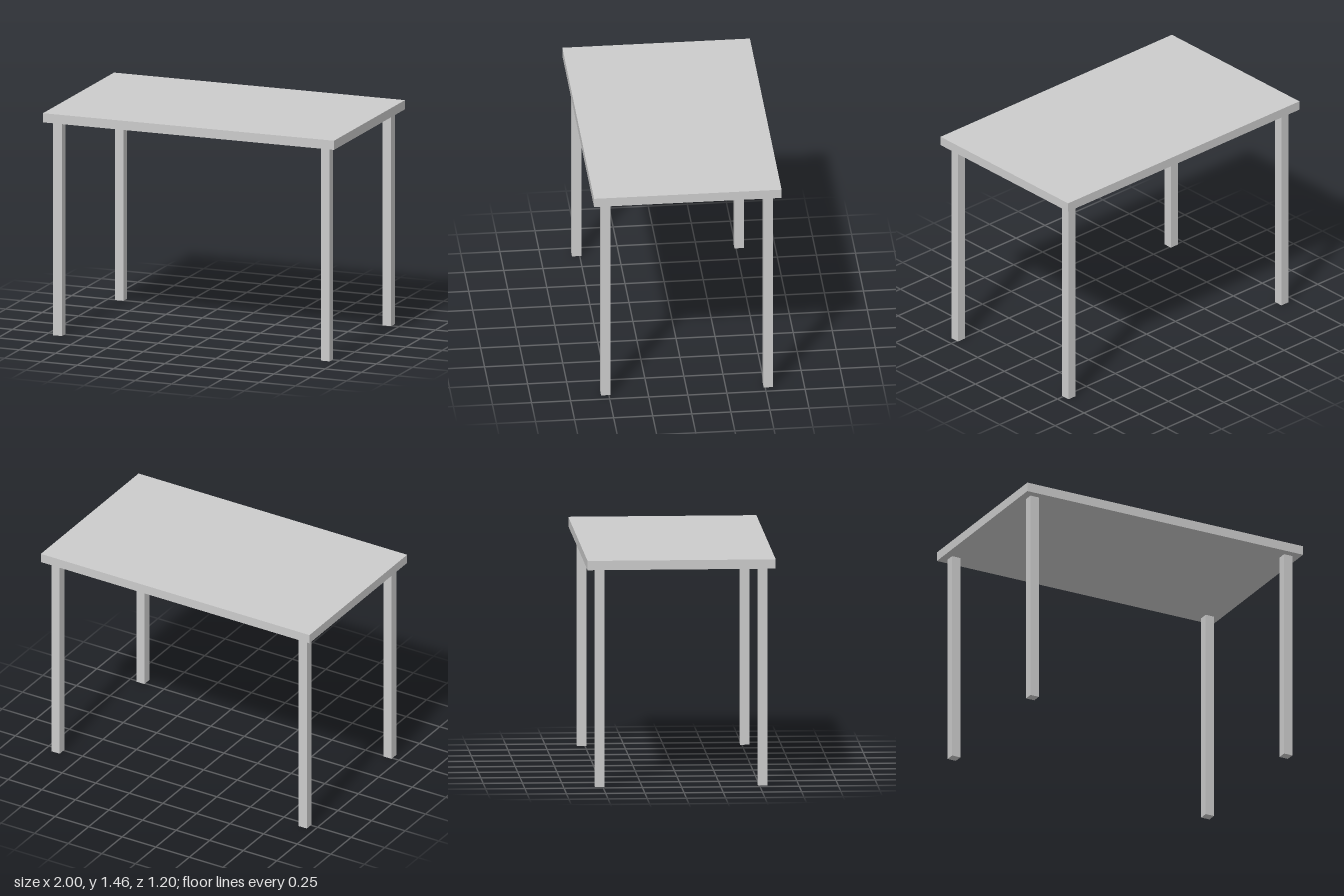
import * as THREE from 'three';

export function createModel() {
  const model = new THREE.Group();
  model.name = 'table';
  const material = new THREE.MeshStandardMaterial({ color: 0xcccccc });

  const legHeight = 1.4;
  const legWidth = 0.06;
  const topThickness = 0.06;

  // Flat slab resting on the legs
  const top = new THREE.Mesh(new THREE.BoxGeometry(2, topThickness, 1.2), material);
  top.name = 'tableTop';
  top.position.y = legHeight + topThickness / 2;
  model.add(top);

  // Four square legs, set in slightly from the corners
  const legGeometry = new THREE.BoxGeometry(legWidth, legHeight, legWidth);
  for (const [zName, z] of [['front', 0.52], ['back', -0.52]]) {
    for (const [xName, x] of [['Left', 0.92], ['Right', -0.92]]) {
      const leg = new THREE.Mesh(legGeometry, material);
      leg.name = `${zName}${xName}Leg`;
      leg.position.set(x, legHeight / 2, z);
      model.add(leg);
    }
  }

  return model;
}
